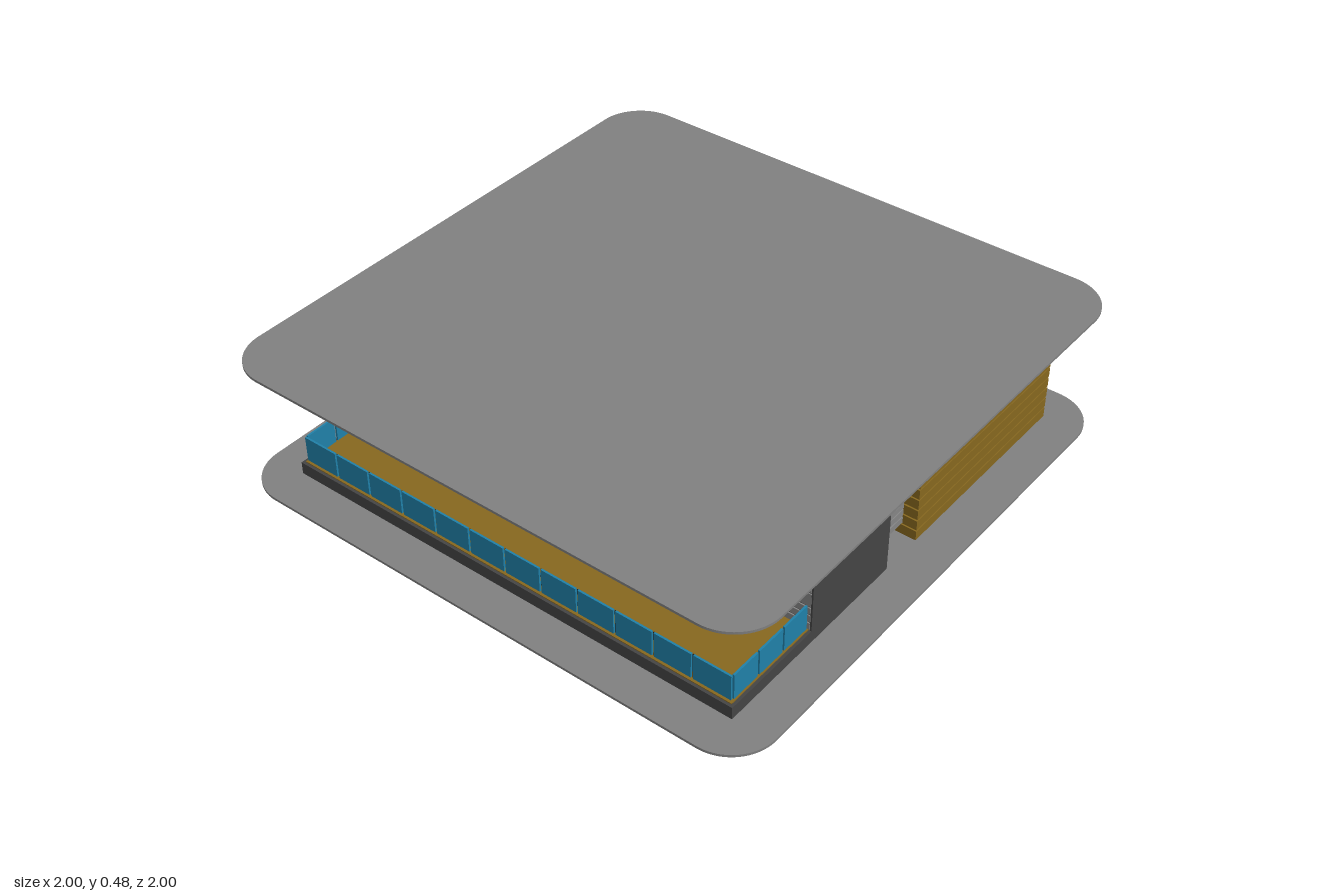
import * as THREE from 'three';

const mat = (color, opts = {}) => new THREE.MeshStandardMaterial({ color, ...opts });
const GREY = mat(0x808080), DARK = mat(0x444444), BLACK = mat(0x222222);
const WOOD = mat(0x86671f), GROOVE = mat(0x4a3812), GLASS = mat(0x2080a8);
const STONE = mat(0x858585), JOINT = mat(0x4c4c4c);

// small seeded generator for the stone joints
let seed = 7;
const rand = () => (seed = (seed * 16807) % 2147483647) / 2147483647;

// box given by its limits on each axis
function box(parent, name, material, [x0, x1], [y0, y1], [z0, z1]) {
  const mesh = new THREE.Mesh(new THREE.BoxGeometry(x1 - x0, y1 - y0, z1 - z0), material);
  mesh.position.set((x0 + x1) / 2, (y0 + y1) / 2, (z0 + z1) / 2);
  mesh.name = name;
  parent.add(mesh);
  return mesh;
}

function group(parent, name) {
  const g = new THREE.Group();
  g.name = name;
  parent.add(g);
  return g;
}

// square slab with rounded corners
function slab(parent, name, y, height) {
  const r = 0.16, s = new THREE.Shape();
  s.absarc(1 - r, 1 - r, r, 0, Math.PI / 2);
  s.absarc(r - 1, 1 - r, r, Math.PI / 2, Math.PI);
  s.absarc(r - 1, r - 1, r, Math.PI, Math.PI * 1.5);
  s.absarc(1 - r, r - 1, r, Math.PI * 1.5, Math.PI * 2);
  s.closePath();
  const geo = new THREE.ExtrudeGeometry(s, { depth: height, bevelEnabled: false, curveSegments: 12 });
  geo.rotateX(-Math.PI / 2);
  const mesh = new THREE.Mesh(geo, GREY);
  mesh.position.y = y;
  mesh.name = name;
  parent.add(mesh);
}

// stone cladding: alternating tall and thin courses, front face at z = 0
const COURSES = [0.055, 0.085, 0.115, 0.145, 0.2, 0.23, 0.285, 0.315, 0.345, 0.375, 0.42];
function stone(parent, [x0, x1], [y0, y1], depth) {
  const wall = group(parent, 'stoneWall');
  const gap = 0.003;
  box(wall, 'mortar', JOINT, [x0, x1], [y0, y1], [-depth, -0.004]);
  for (let i = 0; i < COURSES.length - 1; i++) {
    const b = Math.max(y0, COURSES[i]), t = Math.min(y1, COURSES[i + 1]);
    if (t - b < 0.008) continue;
    let x = x0;
    while (x < x1) {
      let end = x + 0.14 + rand() * 0.22;
      if (x1 - end < 0.05) end = x1;
      box(wall, 'stoneBlock', STONE, [x + (x > x0 ? gap : 0), end], [b + gap, t - gap], [-0.006, 0]);
      x = end;
    }
  }
}

// framed window: edges lists the outer sides and mullion centres
function windowUnit(parent, edges, [y0, y1], z, name) {
  const win = group(parent, name), f = 0.005;
  box(win, 'windowBack', BLACK, [edges[0], edges.at(-1)], [y0, y1], [z - 0.01, z]);
  for (let i = 0; i < edges.length - 1; i++) {
    box(win, 'windowPane', GLASS, [edges[i] + f, edges[i + 1] - f], [y0 + f, y1 - f], [z, z + 0.003]);
  }
  for (const x of edges) box(win, 'windowPost', BLACK, [x - f, x + f], [y0, y1], [z - 0.005, z + 0.008]);
  for (const y of [y0, y1 - f]) box(win, 'windowRail', BLACK, [edges[0], edges.at(-1)], [y, y + f], [z - 0.005, z + 0.008]);
}

// thin dark cap overhanging a block
const cap = (parent, [x0, x1], [z0, z1]) =>
  box(parent, 'roofCap', BLACK, [x0 - 0.015, x1 + 0.015], [0.462, 0.472], [z0 - 0.015, z1 + 0.015]);

function frontBlock(root) {
  const g = group(root, 'frontBlock'), W = 0.86, X = [-W, W];
  box(g, 'frontMass', DARK, X, [0.008, 0.462], [0.08, 0.43]);
  box(g, 'terraceBase', DARK, X, [0.008, 0.054], [0.43, 0.86]);
  box(g, 'terraceRoof', DARK, X, [0.377, 0.462], [0.43, 0.86]);
  box(g, 'terraceFloor', WOOD, [-W + 0.01, W - 0.01], [0.05, 0.057], [0.43, 0.85]);
  box(g, 'terraceCeiling', WOOD, [-W + 0.01, W - 0.01], [0.374, 0.38], [0.43, 0.85]);
  cap(g, X, [0.08, 0.86]);
  for (const s of [-1, 1]) {
    const xs = [s * W, s * (W - 0.006)].sort((a, b) => a - b);
    box(g, 'sideWall', DARK, xs, [0.054, 0.377], [0.43, 0.478]);
  }

  // stone front wall with two recessed glazed doors
  const facade = group(g, 'terraceWall');
  facade.position.z = 0.48;
  const I = W - 0.006, low = [0.055, 0.315];
  stone(facade, [-I, I], [0.315, 0.375], 0.05);
  stone(facade, [-I, -0.395], low, 0.05);
  stone(facade, [-0.07, 0.11], low, 0.05);
  stone(facade, [0.435, I], low, 0.05);
  windowUnit(facade, [-0.39, -0.238, -0.075], [0.057, 0.315], -0.04, 'glassDoorLeft');
  windowUnit(facade, [0.115, 0.2, 0.43], [0.057, 0.315], -0.04, 'glassDoorRight');

  // glass railing on three sides
  const rail = group(g, 'railing'), Y = [0.062, 0.155], n = 12, p = 1.695 / n;
  for (let i = 0; i < n; i++) {
    const x = -0.8475 + i * p;
    box(rail, 'railingPanel', GLASS, [x + 0.004, x + p - 0.004], Y, [0.838, 0.845]);
    if (i) box(rail, 'railingPost', BLACK, [x - 0.003, x + 0.003], [0.056, 0.15], [0.835, 0.838]);
  }
  for (const s of [-1, 1]) for (let i = 0; i < 3; i++) {
    const z = 0.482 + i * 0.119, x = s * 0.844;
    box(rail, 'railingPanel', GLASS, [x - 0.0035, x + 0.0035], Y, [z + 0.004, z + 0.115]);
  }
}

// rear block wrapped in horizontal boards
function rearBlock(root, s) {
  const g = group(root, s > 0 ? 'rearBlockLeft' : 'rearBlockRight');
  const xs = s > 0 ? [0.08, 0.86] : [-0.86, -0.08], zs = [-0.86, -0.08];
  const inset = ([a, b]) => [a + 0.006, b - 0.006];
  box(g, 'rearCore', GROOVE, inset(xs), [0.008, 0.462], inset(zs));
  const n = 11, h = 0.454 / n;
  for (let i = 0; i < n; i++) {
    box(g, 'board', WOOD, xs, [0.008 + i * h + 0.003, 0.008 + (i + 1) * h - 0.003], zs);
  }
  cap(g, xs, zs);
}

// raised T-shaped passage between the blocks, glazed at its three ends
function passage(root) {
  const g = group(root, 'passage'), w = 0.078;
  box(g, 'crossHall', STONE, [-0.77, 0.77], [0.055, 0.415], [-w, w]);
  box(g, 'rearHall', STONE, [-w, w], [0.055, 0.415], [-0.77, -w]);
  box(g, 'hallRoof', WOOD, [-0.815, 0.815], [0.415, 0.425], [-0.08, 0.08]);
  box(g, 'rearHallRoof', WOOD, [-0.08, 0.08], [0.415, 0.425], [-0.815, -0.08]);
  for (const angle of [Math.PI / 2, -Math.PI / 2, Math.PI]) {
    const end = group(g, 'passageEnd'), pivot = group(end, 'endWall');
    end.rotation.y = angle;
    pivot.position.z = 0.81;
    stone(pivot, [-w, w], [0.055, 0.142], 0.042);
    stone(pivot, [-w, w], [0.358, 0.415], 0.042);
    stone(pivot, [-w, -0.069], [0.142, 0.358], 0.042);
    stone(pivot, [0.066, w], [0.142, 0.358], 0.042);
    windowUnit(pivot, [-0.069, -0.015, 0.066], [0.142, 0.358], -0.01, 'endWindow');
  }
}

export function createModel() {
  const root = new THREE.Group();
  root.name = 'pavilionHouse';
  slab(root, 'groundSlab', 0, 0.009);
  slab(root, 'roofSlab', 0.471, 0.009);
  frontBlock(root);
  rearBlock(root, 1);
  rearBlock(root, -1);
  passage(root);
  return root;
}
